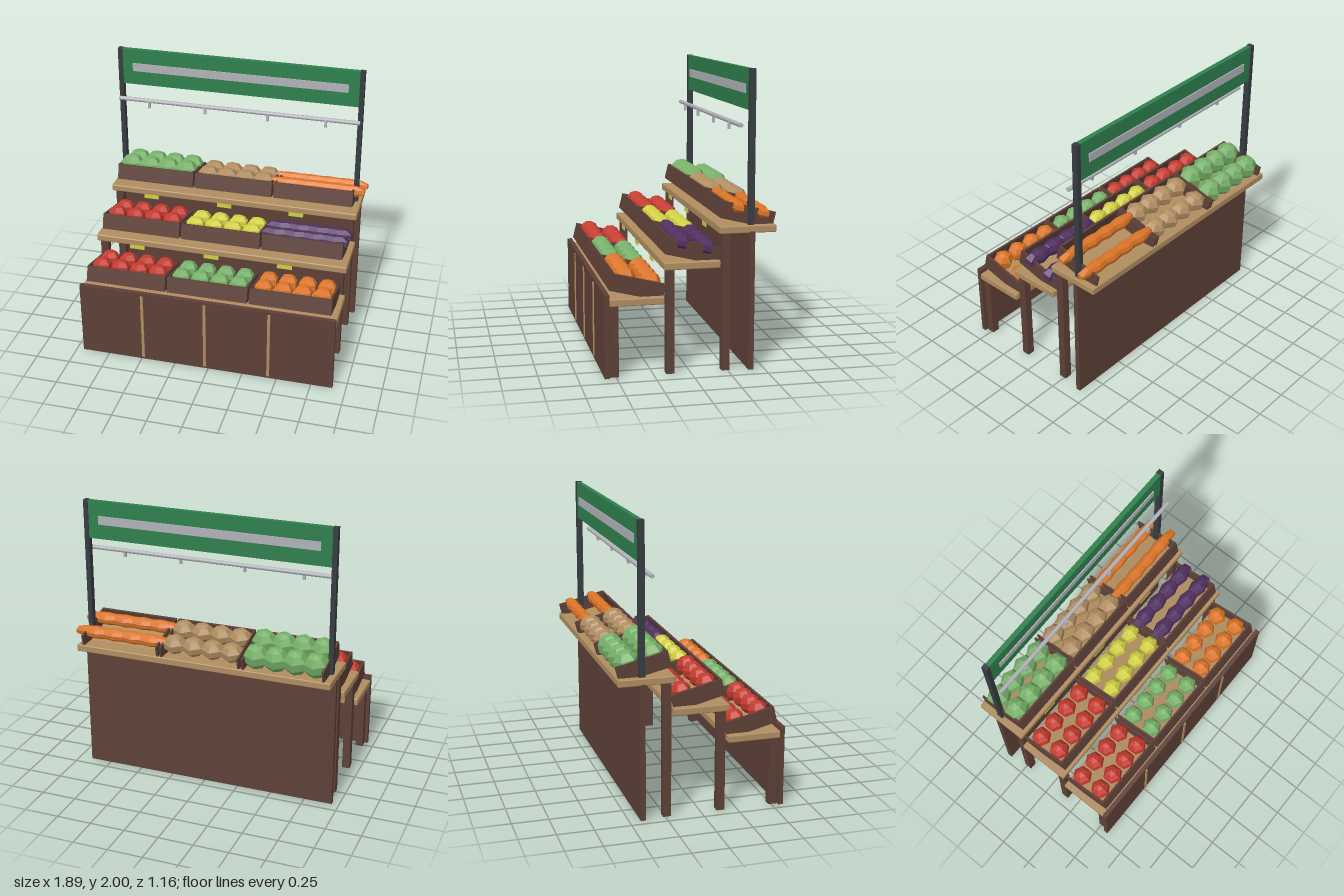
import * as THREE from 'three';
import { RoundedBoxGeometry } from 'three/addons/geometries/RoundedBoxGeometry.js';

const mat = (name, color) => {
  const m = new THREE.MeshStandardMaterial({ color });
  m.name = name;
  return m;
};

export function createModel() {
  const brown = mat('dark wood', 0x5d4037);
  const tan = mat('light wood', 0xb08d60);
  const signGreen = mat('sign green', 0x2f7f4d);
  const dark = mat('dark metal', 0x363c40);
  const grey = mat('light metal', 0xb0b2b8);
  const red = mat('tomato red', 0xc43a2e);
  const orange = mat('orange', 0xdb7426);
  const yellow = mat('yellow', 0xd0cf42);
  const purple = mat('purple', 0x513060);
  const green = mat('leaf green', 0x76b068);

  const model = new THREE.Group();
  model.name = 'produceStand';
  const add = (parent, name, geometry, material, x = 0, y = 0, z = 0) => {
    const mesh = new THREE.Mesh(geometry, material);
    mesh.name = name;
    mesh.position.set(x, y, z);
    parent.add(mesh);
    return mesh;
  };
  // Box given by its lower and upper limits on each axis
  const block = (name, material, [x0, x1], [y0, y1], [z0, z1], parent = model) =>
    add(parent, name, new THREE.BoxGeometry(x1 - x0, y1 - y0, z1 - z0), material,
      (x0 + x1) / 2, (y0 + y1) / 2, (z0 + z1) / 2);

  const left = -0.95, right = 0.905, middle = (left + right) / 2;

  // Front and back panels, with thin battens on the front
  block('frontPanel', brown, [left, right], [0, 0.56], [0.545, 0.578]);
  block('backPanel', brown, [left, right], [0, 0.94], [-0.425, -0.39]);
  for (const x of [-0.485, -0.025, 0.44])
    block('batten', tan, [x - 0.01, x + 0.01], [0.02, 0.54], [0.578, 0.586]);

  // Six-sided faceted ball, shared by all produce
  const ball = new THREE.SphereGeometry(1, 6, 5).rotateY(Math.PI / 2).toNonIndexed();
  ball.computeVertexNormals();

  const tomato = { name: 'tomato', material: red, size: [0.072, 0.07, 0.072] };
  const pepper = { name: 'greenPepper', material: green, size: [0.072, 0.07, 0.072] };
  const fruit = { name: 'orangeFruit', material: orange, size: [0.072, 0.07, 0.072] };
  const lemon = { name: 'lemon', material: yellow, size: [0.075, 0.062, 0.064] };
  const aubergine = { name: 'aubergine', material: purple, size: [0.125, 0.06, 0.06] };
  const cabbage = { name: 'cabbage', material: green, size: [0.092, 0.09, 0.088] };
  const potato = { name: 'potato', material: tan, size: [0.085, 0.067, 0.08] };
  const carrot = { name: 'carrot', material: orange, size: [0.185, 0.045, 0.048] };

  // Open crate tilted with its front edge raised, holding two rows of four
  const crate = (x, y, z, produce) => {
    const g = new THREE.Group();
    g.name = 'crate';
    g.position.set(x, y, z);
    g.rotation.x = -0.24;
    model.add(g);
    const h = 0.115, w = 0.29, d = 0.36, t = 0.015;
    block('crateFront', brown, [-w, w], [0, h], [-t, 0], g);
    block('crateFloor', tan, [-w + t, w - t], [0.002, 0.012], [-d, -t], g);
    for (const s of [-1, 1])
      add(g, 'crateSide', new THREE.BoxGeometry(t, h, d - t), brown,
        s * (w - t / 2), h / 2, -(d + t) / 2);
    for (const row of [-0.095, -0.27])
      for (let i = 0; i < 4; i++)
        add(g, produce.name, ball, produce.material, (i - 1.5) * 0.14, 0.096, row)
          .scale.set(...produce.size);
  };

  // Three stepped shelves with legs, price tags and crates
  const shelves = [
    { top: 0.53, z: [0.18, 0.55], leg: [0.482, 0.537], crateZ: 0.54, goods: [tomato, pepper, fruit] },
    { top: 0.755, z: [-0.195, 0.185], leg: [0.11, 0.165], crateZ: 0.17, goods: [tomato, lemon, aubergine], tags: true },
    { top: 0.98, z: [-0.57, -0.185], leg: [-0.265, -0.21], crateZ: -0.2, goods: [cabbage, potato, carrot], tags: true },
  ];
  for (const { top, z, leg, crateZ, goods, tags } of shelves) {
    add(model, 'shelf', new RoundedBoxGeometry(right - left, 0.05, z[1] - z[0], 1, 0.008), tan,
      middle, top - 0.025, (z[0] + z[1]) / 2);
    for (const x of [-0.9, 0.855])
      block('leg', brown, [x - 0.0275, x + 0.0275], [0, top - 0.045], leg);
    goods.forEach((produce, i) => crate(-0.615 + i * 0.595, top + 0.05, crateZ, produce));
    if (tags)
      for (const x of [-0.64, -0.08, 0.46])
        block('priceTag', yellow, [x - 0.055, x + 0.055], [top - 0.078, top - 0.045], [z[1] - 0.007, z[1] - 0.001]);
  }

  // Sign on two posts, with a pale stripe on both faces
  for (const x of [-0.908, 0.863])
    block('signPost', dark, [x - 0.017, x + 0.017], [0.93, 2], [-0.426, -0.384]);
  block('signBoard', signGreen, [-0.892, 0.847], [1.73, 1.998], [-0.422, -0.388]);
  for (const z of [-0.43, -0.388])
    block('signStripe', grey, [-0.815, 0.77], [1.835, 1.895], [z, z + 0.008]);

  // Hanging rail with hooks
  add(model, 'rail', new THREE.CylinderGeometry(0.015, 0.015, 1.78, 12).rotateZ(Math.PI / 2), grey,
    -0.02, 1.635, -0.33);
  for (const x of [-0.675, -0.255, 0.21, 0.63])
    block('hook', grey, [x - 0.009, x + 0.009], [1.585, 1.63], [-0.323, -0.305]);

  return model;
}
